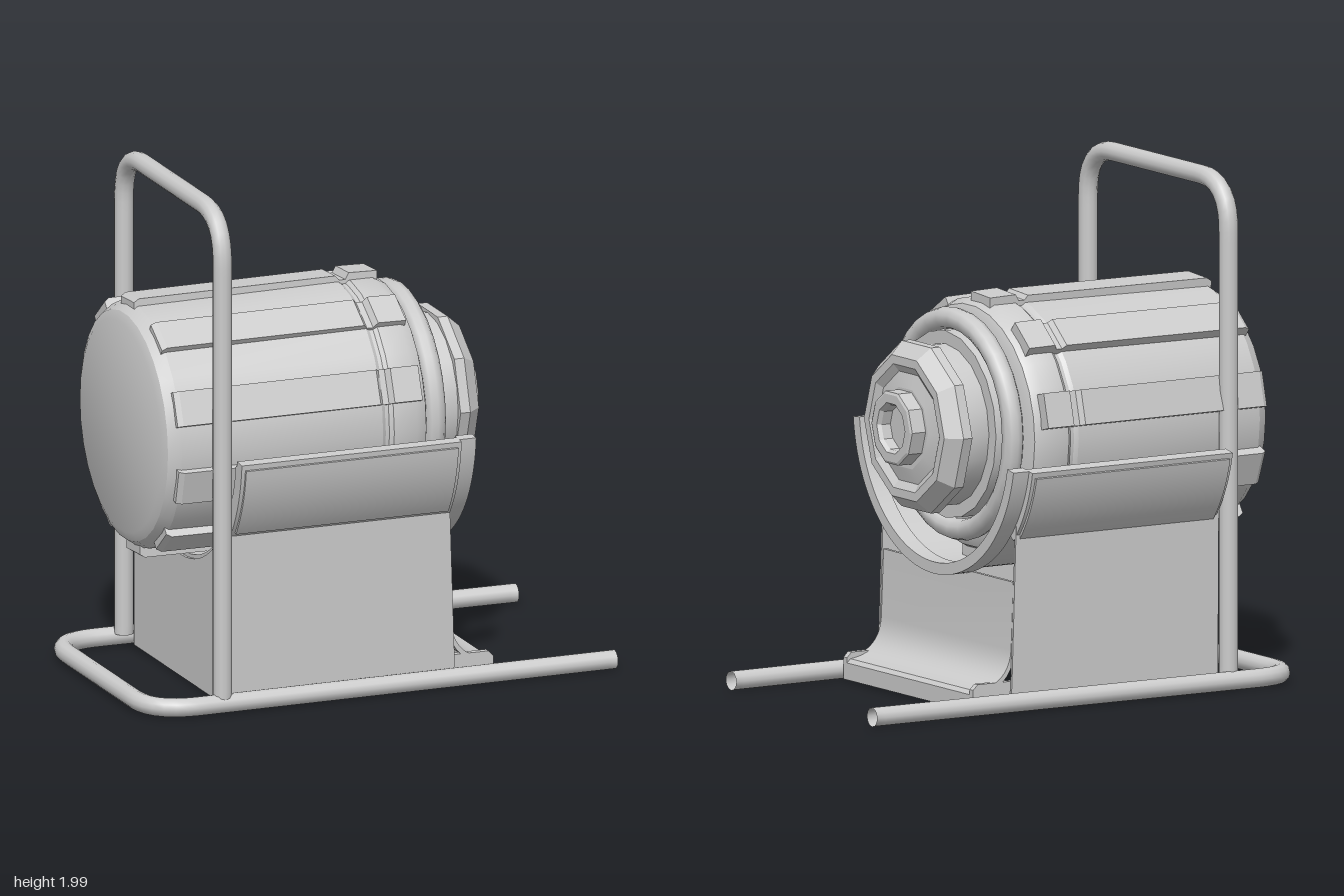
import * as THREE from 'three';
import { toCreasedNormals } from 'three/addons/utils/BufferGeometryUtils.js';

const rad = THREE.MathUtils.degToRad;
const V = (x, y, z) => new THREE.Vector3(x, y, z);

export function createModel() {
  const model = new THREE.Group();
  model.name = 'drumOnStand';
  const material = new THREE.MeshStandardMaterial({ color: 0xcccccc, side: THREE.DoubleSide });

  function add(name, geometry, parent = model, crease = 0.5) {
    const mesh = new THREE.Mesh(toCreasedNormals(geometry, crease), material);
    mesh.name = name;
    parent.add(mesh);
    return mesh;
  }

  // Turned part along the x axis; profile holds [x, radius] from back to front
  function turned(profile, sides, y, z) {
    return new THREE.LatheGeometry(profile.map(([x, r]) => new THREE.Vector2(r, x)), sides)
      .rotateZ(-Math.PI / 2).translate(0, y, z);
  }

  // Cross-section (horizontal axis = -z) pushed along x
  function alongX(shape, x0, x1, curveSegments = 12) {
    return new THREE.ExtrudeGeometry(shape, { depth: x1 - x0, bevelEnabled: false, curveSegments })
      .rotateY(Math.PI / 2).translate(x0, 0, 0);
  }

  // Curved slab around the drum axis; 180 degrees is the +z side
  function arcSlab(r0, r1, a0, a1, x0, x1, segments) {
    const shape = new THREE.Shape();
    shape.absarc(0, 1.05, r1, rad(a0), rad(a1), false);
    shape.absarc(0, 1.05, r0, rad(a1), rad(a0), true);
    return alongX(shape, x0, x1, segments);
  }

  // Round bar through corner points, with rounded corners
  function bar(points, bend, radius) {
    const path = new THREE.CurvePath();
    let last = points[0];
    for (let i = 1; i < points.length - 1; i++) {
      const p = points[i];
      const a = p.clone().add(points[i - 1].clone().sub(p).setLength(bend));
      const b = p.clone().add(points[i + 1].clone().sub(p).setLength(bend));
      path.add(new THREE.LineCurve3(last, a));
      path.add(new THREE.QuadraticBezierCurve3(a, p, b));
      last = b;
    }
    path.add(new THREE.LineCurve3(last, points[points.length - 1]));
    return new THREE.TubeGeometry(path, 120, radius, 12, false);
  }

  // Tube frame: base runner and upright hoop
  add('baseRunner', bar([V(0.965, 0.045, 0.5), V(-0.933, 0.045, 0.52),
    V(-0.933, 0.045, -0.52), V(0.965, 0.045, -0.5)], 0.19, 0.037), model, 0.8);
  add('handleHoop', bar([V(-0.645, 0.06, 0.51), V(-0.645, 1.963, 0.51),
    V(-0.645, 1.963, -0.487), V(-0.645, 0.06, -0.487)], 0.19, 0.037), model, 0.8);

  // Drum body
  const drum = new THREE.Group();
  drum.name = 'drum';
  model.add(drum);
  add('drumBody', turned([[-0.86, 0], [-0.86, 0.41], [-0.845, 0.445], [-0.8, 0.475], [0.02, 0.485],
    [0.035, 0.475], [0.05, 0.475], [0.065, 0.487], [0.16, 0.487], [0.205, 0.465], [0.22, 0.43],
    [0.22, 0]], 30, 1.03, 0.01), drum);
  add('frontRing', new THREE.TorusGeometry(0.405, 0.042, 10, 32).rotateY(Math.PI / 2)
    .translate(0.26, 1.04, 0.02), drum, 0.8);

  // Ribs around the drum
  const rib = new THREE.Shape([[-0.815, 0.44], [-0.815, 0.49], [-0.795, 0.503], [0.01, 0.508],
    [0.025, 0.49], [0.05, 0.49], [0.065, 0.515], [0.18, 0.512], [0.18, 0.44]]
    .map(([x, y]) => new THREE.Vector2(x, y)));
  const ribGeometry = new THREE.ExtrudeGeometry(rib, { depth: 0.135, bevelEnabled: false })
    .translate(0, 0, -0.0675);
  for (let i = 0; i < 10; i++) {
    const mesh = add('rib', ribGeometry, drum);
    mesh.position.set(0, 1.025, 0);
    mesh.rotation.x = -rad(3.5 + 36 * i);
  }

  // Faceted neck, flange and hollow nozzle
  const nose = new THREE.Group();
  nose.name = 'nose';
  model.add(nose);
  add('neck', turned([[0.22, 0.36], [0.3, 0.36], [0.3, 0.31], [0.4, 0.31]], 20, 1.04, 0.03), nose);
  add('flange', turned([[0.39, 0.29], [0.39, 0.335], [0.43, 0.335], [0.485, 0.285], [0.485, 0.25],
    [0.465, 0.22], [0.48, 0.16], [0.48, 0]], 10, 1.04, 0.03), nose, 0.2);
  add('nozzle', turned([[0.46, 0.145], [0.54, 0.145], [0.545, 0.135], [0.545, 0.1], [0.53, 0.09],
    [0.49, 0.09], [0.49, 0]], 10, 1.045, 0.03), nose, 0.2);

  // Cradle: trough, front lip and side pads
  const cradle = new THREE.Group();
  cradle.name = 'cradle';
  model.add(cradle);
  add('trough', arcSlab(0.54, 0.56, 187, 347, -0.6, 0.31, 24), cradle);
  add('frontLip', arcSlab(0.53, 0.575, 185, 349, 0.3, 0.37, 24), cradle);
  for (const [a0, a1] of [[185, 217], [319, 349]]) {
    add('sidePad', arcSlab(0.55, 0.6, a0, a1, -0.6, 0.3, 6), cradle);
    add('padFace', arcSlab(0.59, 0.61, a0 + 2, a1 - 2, -0.585, 0.285, 6), cradle);
  }

  // Hollow pedestal, open underneath
  const pedestal = new THREE.Group();
  pedestal.name = 'pedestal';
  model.add(pedestal);
  for (const s of [1, -1]) {
    const side = new THREE.Shape([[-0.605, 0.015], [0.325, 0.015], [0.32, 0.12], [0.3, 0.75], [-0.605, 0.75]]
      .map(([x, y]) => new THREE.Vector2(x, y)));
    add('sideWall', new THREE.ExtrudeGeometry(side, { depth: 0.01, bevelEnabled: false })
      .translate(0, 0, s * 0.47 - 0.005), pedestal);
  }
  const endWall = new THREE.Shape();
  endWall.moveTo(-0.47, 0.015);
  endWall.lineTo(0.47, 0.015);
  endWall.absarc(0, 1.05, 0.555, rad(-32), rad(-148), true);
  add('backWall', alongX(endWall, -0.61, -0.6), pedestal);

  // Front wall sweeping out into the foot
  const foot = new THREE.Shape();
  foot.moveTo(0.29, 0.5);
  foot.lineTo(0.305, 0.5);
  foot.lineTo(0.315, 0.24);
  foot.quadraticCurveTo(0.325, 0.11, 0.47, 0.095);
  foot.lineTo(0.485, 0.08);
  foot.lineTo(0.485, 0.015);
  foot.lineTo(0.47, 0.015);
  foot.lineTo(0.47, 0.075);
  foot.quadraticCurveTo(0.31, 0.09, 0.3, 0.24);
  add('frontFoot', new THREE.ExtrudeGeometry(foot, { depth: 0.92, bevelEnabled: false, curveSegments: 10 })
    .translate(0, 0, -0.46), pedestal);
  for (const z of [-0.46, 0.435]) {
    const cheek = new THREE.Shape([[0.3, 0.015], [0.485, 0.015], [0.485, 0.1], [0.465, 0.12], [0.3, 0.12]]
      .map(([x, y]) => new THREE.Vector2(x, y)));
    add('footEdge', new THREE.ExtrudeGeometry(cheek, { depth: 0.025, bevelEnabled: false })
      .translate(0, 0, z), pedestal);
  }
  return model;
}
